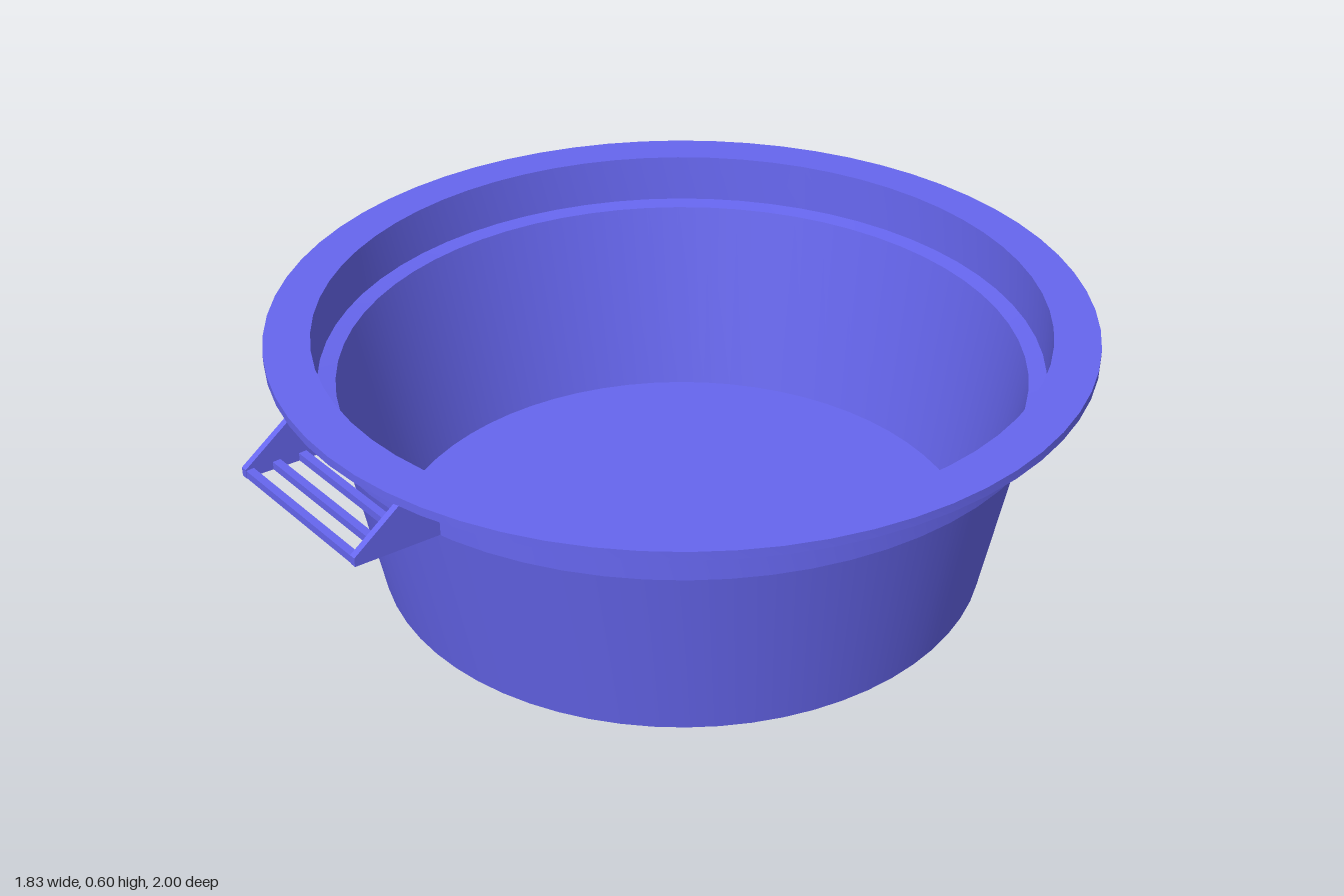
import * as THREE from 'three';
import { toCreasedNormals } from 'three/addons/utils/BufferGeometryUtils.js';

export function createModel() {
  const model = new THREE.Group();
  model.name = 'basin';
  const material = new THREE.MeshStandardMaterial({ color: 0x6666ee });

  const addMesh = (parent, name, geometry) => {
    const mesh = new THREE.Mesh(geometry, material);
    mesh.name = name;
    parent.add(mesh);
    return mesh;
  };

  // Tub: outer wall, stepped collar, flat rim, then back down the inside
  const profile = [
    [0, 0], [0.7, 0], [0.787, 0.467], [0.83, 0.472], [0.83, 0.58],
    [0.917, 0.58], [0.917, 0.6], [0.815, 0.6], [0.81, 0.487],
    [0.77, 0.482], [0.685, 0.015], [0, 0.015],
  ].map(([r, y]) => new THREE.Vector2(r, y));
  addMesh(model, 'tub', toCreasedNormals(new THREE.LatheGeometry(profile, 64), 0.5));

  // Handle bracket outline, drawn in z and y
  const bracket = new THREE.Shape([
    [0.8, 0.473], [1, 0.486], [1, 0.506], [0.89, 0.582], [0.8, 0.582],
  ].map(([z, y]) => new THREE.Vector2(z, y)));
  const thickness = 0.015;
  const bracketGeometry = new THREE.ExtrudeGeometry(bracket, { depth: thickness, bevelEnabled: false });
  bracketGeometry.translate(0, 0, -thickness / 2).rotateY(-Math.PI / 2);
  const barGeometry = new THREE.BoxGeometry(0.4, 0.018, 0.018);

  // Two handles: a pair of brackets joined by slim bars
  for (const [name, turn] of [['frontHandle', 0], ['backHandle', Math.PI]]) {
    const handle = new THREE.Group();
    handle.name = name;
    handle.rotation.y = turn;
    for (const side of [-1, 1]) {
      addMesh(handle, side > 0 ? 'leftBracket' : 'rightBracket', bracketGeometry).position.x = side * 0.203;
    }
    for (let i = 0; i < 3; i++) {
      addMesh(handle, 'gripBar', barGeometry).position.set(0, 0.495 - i * 0.004, 0.99 - i * 0.062);
    }
    model.add(handle);
  }
  return model;
}
